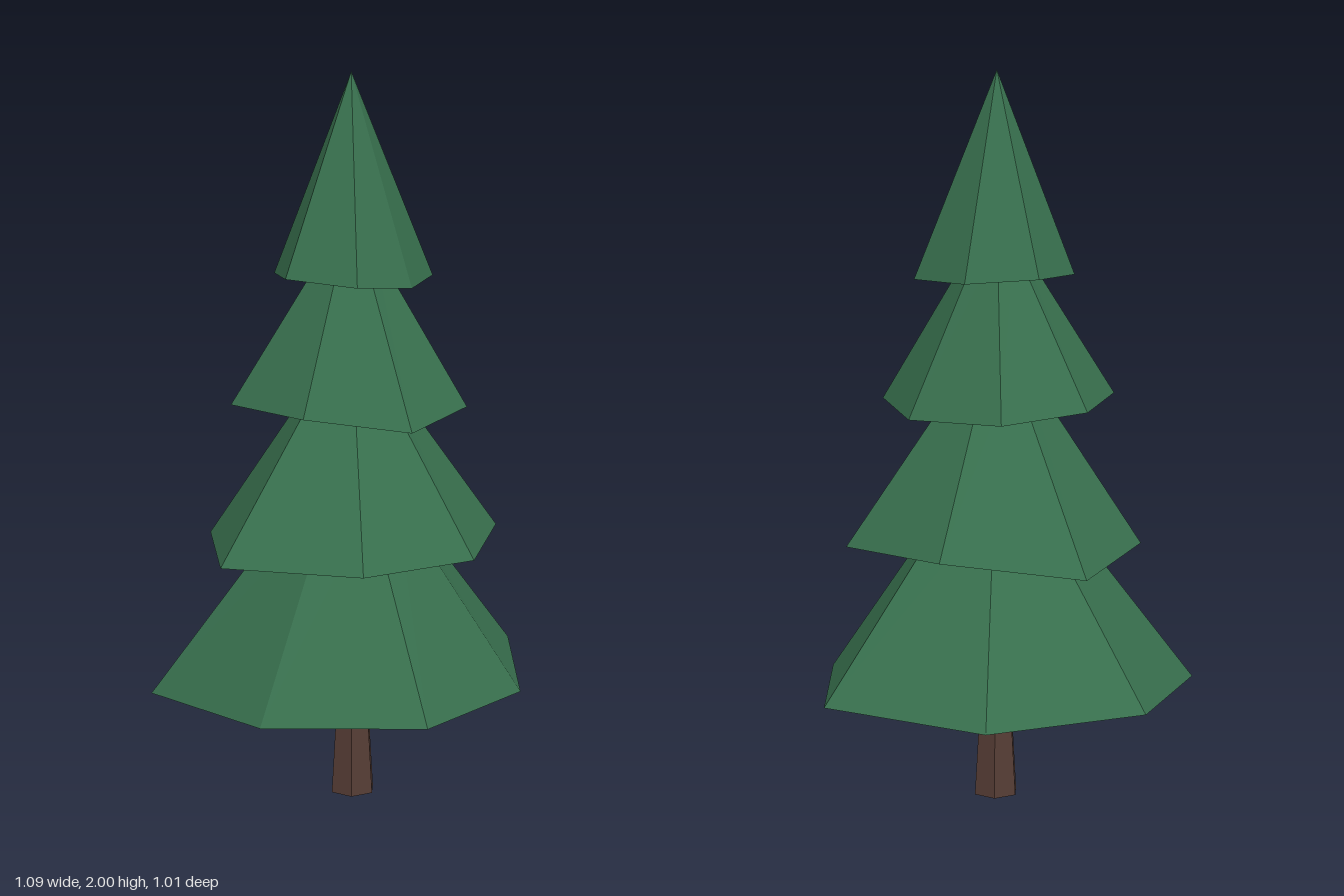
import * as THREE from 'three';

// Shared axis of the tree
const AX = -0.015, AZ = -0.015;

// Each tier: rim corners [x, y, z] seen clockwise from above,
// top height and how far the rim has shrunk there, underside lift.
const TIERS = [
  { name: 'bottomTier', top: 0.85, shrink: 0.26, lift: 0.08, rim: [
    [-0.2, 0.335, -0.51], [0.245, 0.33, -0.455], [0.54, 0.345, -0.095], [0.335, 0.33, 0.315],
    [-0.06, 0.345, 0.505], [-0.42, 0.325, 0.25], [-0.545, 0.31, -0.19]] },
  { name: 'lowerMiddleTier', top: 1.21, shrink: 0.19, lift: 0.07, rim: [
    [-0.035, 0.71, -0.48], [0.295, 0.75, -0.29], [0.405, 0.735, 0.055], [0.175, 0.725, 0.33],
    [-0.175, 0.73, 0.365], [-0.465, 0.73, 0.11], [-0.335, 0.73, -0.25]] },
  { name: 'upperMiddleTier', top: 1.54, shrink: 0.19, lift: 0.06, rim: [
    [-0.145, 1.11, -0.285], [0.125, 1.1, -0.31], [0.285, 1.095, -0.09], [0.235, 1.11, 0.18],
    [-0.015, 1.09, 0.33], [-0.255, 1.12, 0.178], [-0.34, 1.12, -0.09]] },
  { name: 'topTier', top: 2, shrink: 0, lift: 0.05, rim: [
    [-0.02, 1.465, -0.245], [0.16, 1.455, -0.17], [0.21, 1.45, 0.03], [0.075, 1.44, 0.16],
    [-0.1, 1.455, 0.185], [-0.24, 1.47, 0.045], [-0.185, 1.46, -0.14]] },
];

// Rim scaled towards the axis and set at one height
function ringAt(rim, scale, y) {
  return rim.map(([x, , z]) => new THREE.Vector3(AX + (x - AX) * scale, y, AZ + (z - AZ) * scale));
}

// Flat-faced skin through a stack of rings; collapsed rings become fans
function loft(rings) {
  const points = [];
  const addTriangle = (a, b, c) => {
    if (!a.equals(b) && !b.equals(c) && !c.equals(a)) points.push(a, b, c);
  };
  for (let r = 0; r < rings.length - 1; r++) {
    const lower = rings[r], upper = rings[r + 1], n = lower.length;
    for (let i = 0; i < n; i++) {
      const j = (i + 1) % n;
      addTriangle(lower[j], lower[i], upper[i]);
      addTriangle(lower[j], upper[i], upper[j]);
    }
  }
  const geometry = new THREE.BufferGeometry().setFromPoints(points);
  geometry.computeVertexNormals();
  return geometry;
}

// Branch tier: flat ceiling, sloping underside, then the outer slope
function tierGeometry({ rim, top, shrink, lift }) {
  const ceiling = rim.reduce((sum, p) => sum + p[1], 0) / rim.length + lift;
  return loft([
    ringAt(rim, 0, ceiling),
    ringAt(rim, 0.35, ceiling),
    rim.map((p) => new THREE.Vector3(...p)),
    ringAt(rim, shrink, top),
    ringAt(rim, 0, top),
  ]);
}

export function createModel() {
  const needles = new THREE.MeshStandardMaterial({ color: 0x38704e, flatShading: true });
  needles.name = 'needle green';
  const bark = new THREE.MeshStandardMaterial({ color: 0x563d35, flatShading: true });
  bark.name = 'bark brown';

  const tree = new THREE.Group();
  tree.name = 'pineTree';

  // Tapered six-sided trunk
  const trunk = new THREE.Mesh(
    new THREE.CylinderGeometry(0.037, 0.065, 0.45, 6, 1, false, Math.PI / 6), bark);
  trunk.name = 'trunk';
  trunk.position.set(AX, 0.225, -0.01);
  tree.add(trunk);

  // Overlapping branch tiers
  for (const tier of TIERS) {
    const mesh = new THREE.Mesh(tierGeometry(tier), needles);
    mesh.name = tier.name;
    tree.add(mesh);
  }
  return tree;
}
